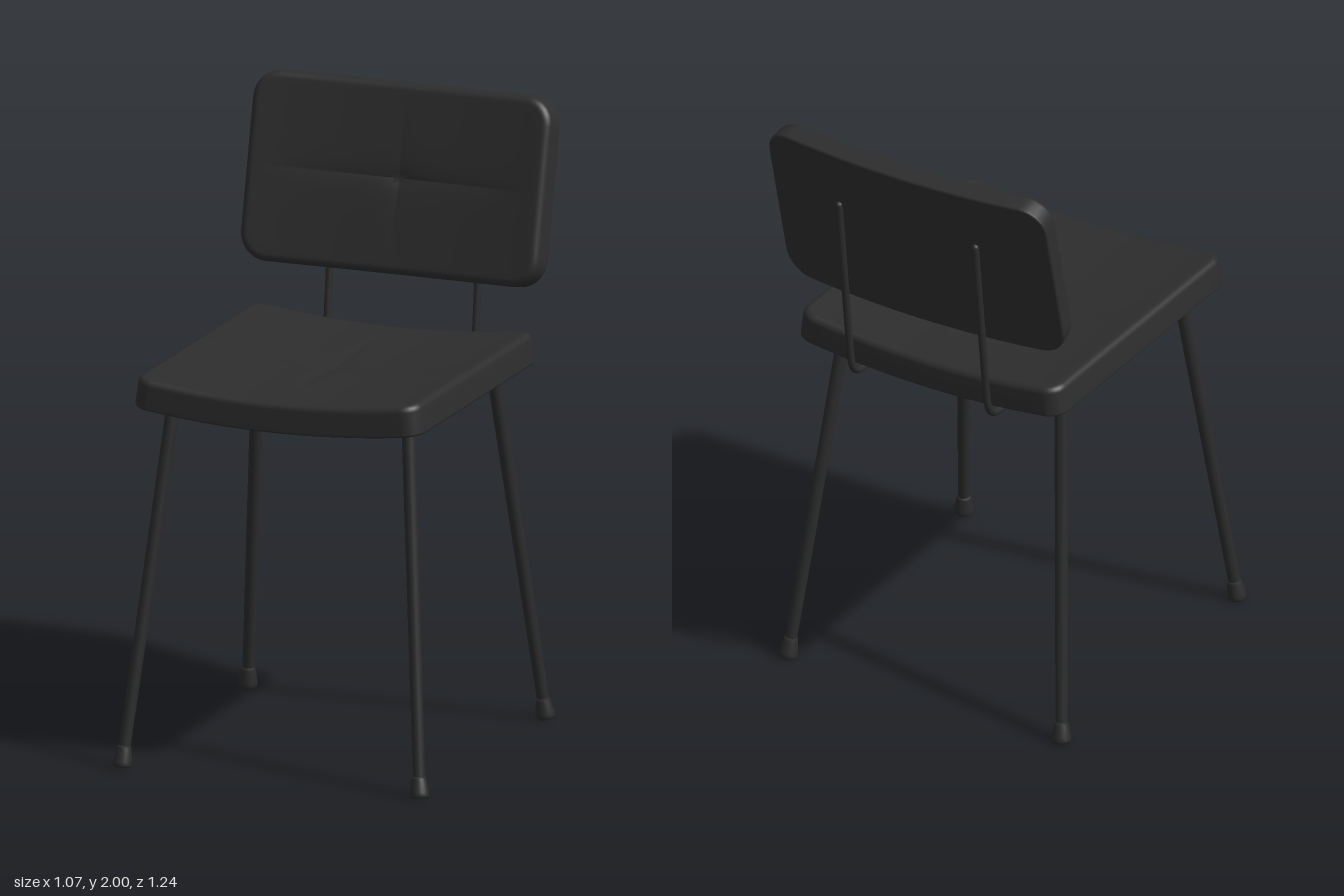
import * as THREE from 'three';
import { mergeVertices } from 'three/addons/utils/BufferGeometryUtils.js';

const fabric = new THREE.MeshStandardMaterial({ color: 0x2d2d2d });
fabric.name = 'charcoal fabric';
const metal = new THREE.MeshStandardMaterial({ color: 0x2b2b2b });
metal.name = 'black metal';

// Rounded rectangle, counter-clockwise, with side points denser near the middle
function outline(a, b, r) {
  const corners = [[1, 1], [-1, 1], [-1, -1], [1, -1]].map(([sx, sy], q) =>
    Array.from({ length: 8 }, (_, i) => {
      const t = (q + i / 7) * Math.PI / 2;
      return [sx * (a - r) + r * Math.cos(t), sy * (b - r) + r * Math.sin(t)];
    }));
  const points = [];
  corners.forEach((arc, q) => {
    points.push(...arc);
    const [x0, y0] = arc[7], [x1, y1] = corners[(q + 1) % 4][0];
    for (let i = 1; i < 20; i++) {
      const k = i / 10 - 1;
      const t = 0.5 + 0.5 * Math.sign(k) * Math.abs(k) ** 1.5;
      points.push([x0 + (x1 - x0) * t, y0 + (y1 - y0) * t]);
    }
  });
  return points;
}

// Padded panel lying in XY, padding towards +z, bent about its Y axis, with a cross seam
function cushion({ width, height, thick, radius, round, bend }) {
  const a = width / 2, b = height / 2, small = 0.008;
  const rings = [];
  const addRing = (inset, w, s = 1) => rings.push(
    outline(a - inset, b - inset, radius - inset).map(([x, y]) => [x * s, y * s, w]));
  for (let i = 0; i <= 8; i++) addRing(small, 0, i / 8);
  for (let i = 1; i <= 3; i++) {
    const t = i / 3 * Math.PI / 2;
    addRing(small * (1 - Math.sin(t)), small * (1 - Math.cos(t)));
  }
  for (let i = 0; i <= 6; i++) {
    const t = i / 6 * Math.PI / 2;
    addRing(round * (1 - Math.cos(t)), thick - round * (1 - Math.sin(t)));
  }
  const topStart = rings.length;
  for (let i = 17; i >= 0; i--) addRing(round, thick, i / 18);

  const positions = [], index = [], n = rings[0].length;
  rings.forEach((ring, j) => ring.forEach(([x, y, w]) => {
    if (j >= topStart) {
      // Tufted seams fade out towards the rim
      const fadeX = Math.max(0, 1 - (x / a / 0.9) ** 2), fadeY = Math.max(0, 1 - (y / b / 0.9) ** 2);
      w -= 0.009 * fadeX * Math.exp(-Math.abs(y) / 0.03);
      w -= 0.004 * fadeY * Math.exp(-Math.abs(x) / 0.025);
      w -= 0.007 * Math.exp(-Math.hypot(x, y) / 0.05);
    }
    positions.push(x - w * 2 * bend * x, y, w + bend * x * x);
  }));
  for (let j = 0; j < rings.length - 1; j++) {
    for (let i = 0; i < n; i++) {
      const k = (i + 1) % n, p = j * n, q = p + n;
      if (j > 0) index.push(p + i, p + k, q + k);
      if (j < rings.length - 2) index.push(p + i, q + k, q + i);
      else index.push(p + i, q + k, q + i);
    }
  }
  let geometry = new THREE.BufferGeometry();
  geometry.setAttribute('position', new THREE.Float32BufferAttribute(positions, 3));
  geometry.setIndex(index);
  geometry = mergeVertices(geometry, 1e-5);
  geometry.computeVertexNormals();
  return geometry;
}

function addMesh(parent, name, geometry, material) {
  const mesh = new THREE.Mesh(geometry, material);
  mesh.name = name;
  parent.add(mesh);
  return mesh;
}

export function createModel() {
  const chair = new THREE.Group();
  chair.name = 'chair';

  // Dished seat
  const seat = addMesh(chair, 'seat', cushion({
    width: 0.985, height: 1.015, thick: 0.1, radius: 0.06, round: 0.022, bend: 0.15 }), fabric);
  seat.rotation.x = -Math.PI / 2;
  seat.position.set(0, 1.132, 0.057);

  // Leaning curved backrest
  const backrest = addMesh(chair, 'backrest', cushion({
    width: 1.03, height: 0.605, thick: 0.08, radius: 0.09, round: 0.025, bend: 0.14 }), fabric);
  backrest.rotation.x = -0.24;
  backrest.position.set(0, 1.687, -0.548);

  // Splayed legs with flared feet
  const footProfile = [[0, 0], [0.027, 0], [0.031, 0.006], [0.03, 0.018], [0.023, 0.06], [0.019, 0.068], [0, 0.068]]
    .map(([x, y]) => new THREE.Vector2(x, y));
  for (const side of [1, -1]) {
    for (const [name, footZ, topZ] of [['front', 0.593, 0.42], ['back', -0.46, -0.284]]) {
      const foot = new THREE.Vector3(side * 0.506, 0.004, footZ);
      const top = new THREE.Vector3(side * 0.397, 1.175, topZ);
      const axis = top.clone().sub(foot), length = axis.length();
      const leg = new THREE.Group();
      leg.name = name + 'Leg';
      leg.position.copy(foot);
      leg.quaternion.setFromUnitVectors(new THREE.Vector3(0, 1, 0), axis.normalize());
      const tube = new THREE.CylinderGeometry(0.022, 0.019, length - 0.03, 20);
      addMesh(leg, name + 'LegTube', tube.translate(0, length / 2 + 0.015, 0), metal);
      addMesh(leg, name + 'Foot', new THREE.LatheGeometry(footProfile, 20), metal);
      chair.add(leg);
    }

    // Bent rod running under the seat and up behind the backrest
    const at = (y, z) => new THREE.Vector3(side * 0.252, y, z);
    const path = new THREE.CurvePath();
    path.add(new THREE.LineCurve3(at(1.131, 0.03), at(1.118, -0.41)));
    path.add(new THREE.CubicBezierCurve3(at(1.118, -0.41), at(1.116, -0.47), at(1.14, -0.488), at(1.2, -0.497)));
    path.add(new THREE.LineCurve3(at(1.2, -0.497), at(1.78, -0.566)));
    addMesh(chair, 'backRod', new THREE.TubeGeometry(path, 64, 0.012, 12), metal);
    for (const [y, z] of [[1.131, 0.03], [1.78, -0.566]]) {
      addMesh(chair, 'rodEnd', new THREE.SphereGeometry(0.012, 12, 8), metal).position.copy(at(y, z));
    }
  }
  return chair;
}
